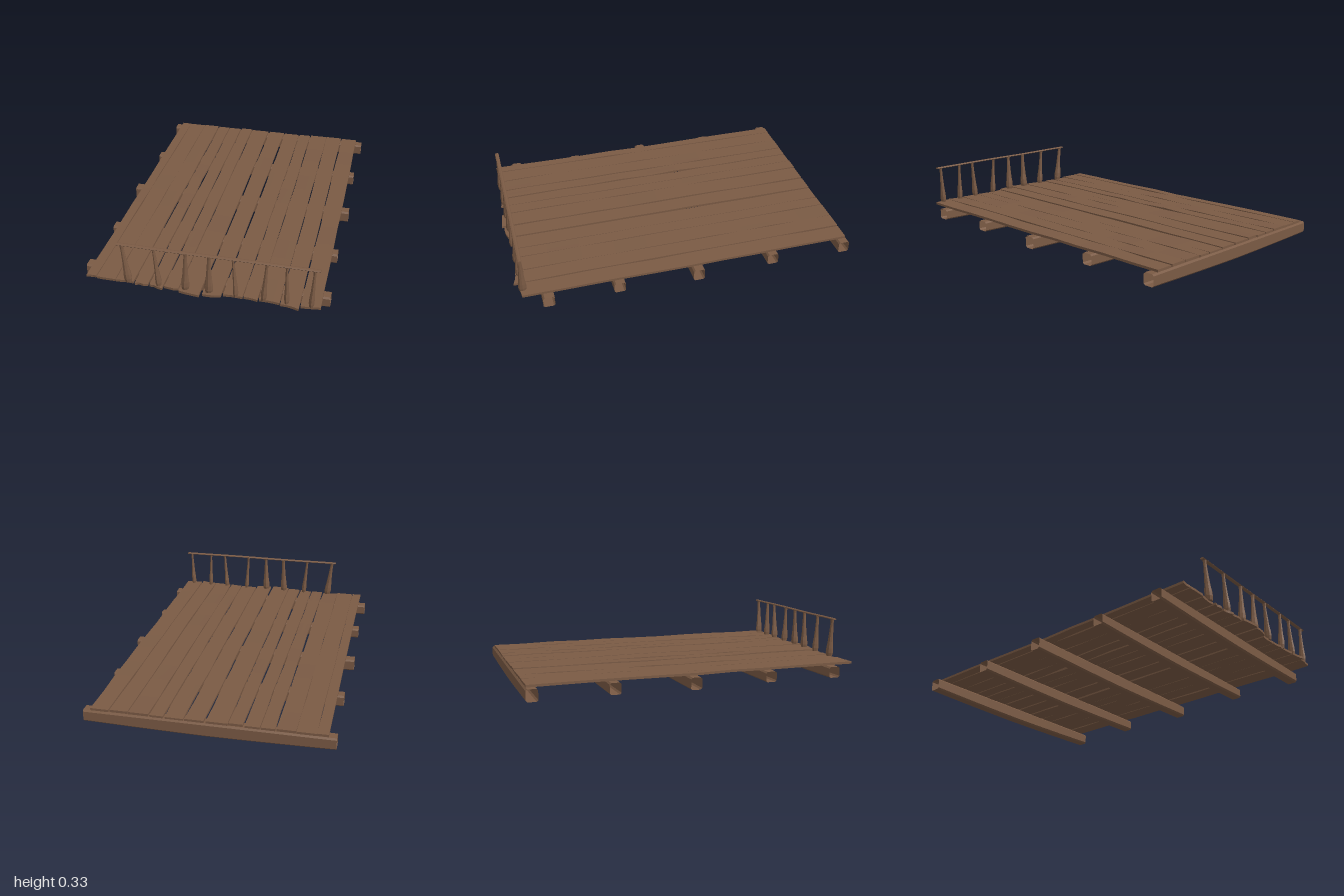
import * as THREE from 'three';

const wood = new THREE.MeshStandardMaterial({ color: 0x7a5a44, flatShading: true });
const openWood = wood.clone();
openWood.side = THREE.DoubleSide;

// Seeded generator for small hand-hewn irregularities, in -1..1
let seed = 7;
const wobble = () => {
  seed = (seed * 16807) % 2147483647;
  return (seed / 2147483647) * 2 - 1;
};

function addMesh(parent, name, geometry, material = wood) {
  const mesh = new THREE.Mesh(geometry, material);
  mesh.name = name;
  parent.add(mesh);
  return mesh;
}

// Move every vertex by a rule
function reshape(geometry, rule) {
  const p = geometry.attributes.position;
  const v = new THREE.Vector3();
  for (let i = 0; i < p.count; i++) {
    rule(v.fromBufferAttribute(p, i));
    p.setXYZ(i, v.x, v.y, v.z);
  }
  geometry.computeVertexNormals();
  return geometry;
}

// Chamfered beam with open ends, its underside sagging in the middle
function beamGeometry(x0, x1, z, bottom, top) {
  const h = 0.033, c = 0.009, n = 10;
  const section = [
    [-h, bottom + c], [-h, top - c], [-h + c, top], [h - c, top],
    [h, top - c], [h, bottom + c], [h - c, bottom], [-h + c, bottom],
  ];
  const mid = (bottom + top) / 2;
  const positions = [], index = [];
  for (let i = 0; i <= n; i++) {
    const t = i / n;
    const end = Math.pow(Math.abs(2 * t - 1), 1.5);
    for (const [dz, y] of section) {
      const lift = y < mid ? 0.011 * end : 0;
      positions.push(x0 + (x1 - x0) * t, y + lift, z + dz);
    }
  }
  for (let i = 0; i < n; i++) {
    for (let j = 0; j < 8; j++) {
      const a = i * 8 + j, b = i * 8 + (j + 1) % 8;
      index.push(a, b, a + 8, b, b + 8, a + 8);
    }
  }
  const g = new THREE.BufferGeometry();
  g.setAttribute('position', new THREE.Float32BufferAttribute(positions, 3));
  g.setIndex(index);
  g.computeVertexNormals();
  return g;
}

// Plank with slightly wandering edges and a broken front end
function plankGeometry(x0, x1, top, frontL, frontR) {
  const n = 10, back = -0.99, thick = 0.014;
  const left = [], right = [], rise = [];
  for (let i = 0; i <= n; i++) {
    left.push(0.0025 * wobble());
    right.push(0.0025 * wobble());
    rise.push(0.0025 * wobble());
  }
  const chip = [0, 0.006 * wobble(), 0.006 * wobble(), 0];
  const g = new THREE.BoxGeometry(1, 1, 1, 3, 1, n);
  return reshape(g, (v) => {
    const u = v.x + 0.5, t = v.z + 0.5, row = Math.round(t * n);
    const front = frontL + (frontR - frontL) * u + chip[Math.round(u * 3)];
    v.x = x0 + left[row] + (x1 + right[row] - x0 - left[row]) * u;
    v.y = top - thick * (0.5 - v.y) + rise[row];
    v.z = back + (front - back) * t;
  });
}

// Turned baluster, leaning from its foot to the rail
function balusterGeometry(footX, headX, width, depth) {
  const y0 = 0.09, y1 = 0.325;
  const profile = [
    [0, 0], [0.8, 0], [1, 0.1], [0.95, 0.22], [0.72, 0.4],
    [0.58, 0.6], [0.46, 0.8], [0.42, 0.92], [0.5, 1], [0, 1],
  ].map(([r, y]) => new THREE.Vector2(r, y));
  return reshape(new THREE.LatheGeometry(profile, 8), (v) => {
    const t = v.y;
    const slim = width + (0.024 - width) * t * 0.3;
    v.x = footX + (headX - footX) * t + v.x * slim;
    v.z = 0.945 + v.z * depth;
    v.y = y0 + (y1 - y0) * t;
  });
}

export function createModel() {
  const model = new THREE.Group();
  model.name = 'woodenDeck';

  // Cross beams: x start, x end, z, underside, top
  const beams = new THREE.Group();
  beams.name = 'crossBeams';
  [
    [-0.695, 0.69, 0.815, 0.008, 0.083],
    [-0.685, 0.68, 0.41, 0.008, 0.08],
    [-0.7, 0.695, -0.055, 0, 0.081],
    [-0.685, 0.68, -0.515, 0.004, 0.081],
    [-0.695, 0.69, -0.966, 0.002, 0.082],
  ].forEach((b) => addMesh(beams, 'crossBeam', beamGeometry(...b), openWood));

  // Deck planks: left edge, right edge, top, front at each corner
  const planks = new THREE.Group();
  planks.name = 'planks';
  [
    [-0.65, -0.594, 0.098, 0.955, 0.953],
    [-0.591, -0.484, 0.096, 0.953, 0.956],
    [-0.482, -0.38, 0.095, 0.953, 0.95],
    [-0.37, -0.296, 0.096, 0.96, 0.953],
    [-0.289, -0.21, 0.092, 0.955, 0.972],
    [-0.2, -0.123, 0.097, 0.957, 0.962],
    [-0.115, 0.002, 0.097, 0.975, 0.992],
    [0.013, 0.116, 0.097, 0.978, 0.966],
    [0.126, 0.23, 0.093, 0.955, 0.953],
    [0.236, 0.315, 0.096, 0.952, 0.962],
    [0.32, 0.432, 0.096, 0.956, 0.965],
    [0.439, 0.539, 0.098, 0.968, 0.988],
    [0.547, 0.65, 0.097, 0.965, 0.955],
  ].forEach((p) => addMesh(planks, 'plank', plankGeometry(...p)));

  // Railing along the front edge
  const railing = new THREE.Group();
  railing.name = 'railing';
  [
    [-0.408, -0.434, 0.023],
    [-0.234, -0.255, 0.016],
    [-0.086, -0.079, 0.023],
    [0.045, 0.05, 0.024],
    [0.195, 0.18, 0.014],
    [0.344, 0.36, 0.016],
    [0.47, 0.465, 0.014],
    [0.6, 0.611, 0.015],
  ].forEach(([foot, head, w]) =>
    addMesh(railing, 'baluster', balusterGeometry(foot, head, w, 0.023)));

  const rail = new THREE.CylinderGeometry(1, 1, 1.1, 8, 8).rotateZ(Math.PI / 2);
  reshape(rail, (v) => {
    v.y = 0.328 + v.y * 0.006 + 0.001 * Math.sin(v.x * 9);
    v.z = 0.945 + v.z * 0.012;
    v.x += 0.09;
  });
  addMesh(railing, 'handRail', rail);

  model.add(beams, planks, railing);
  return model;
}
